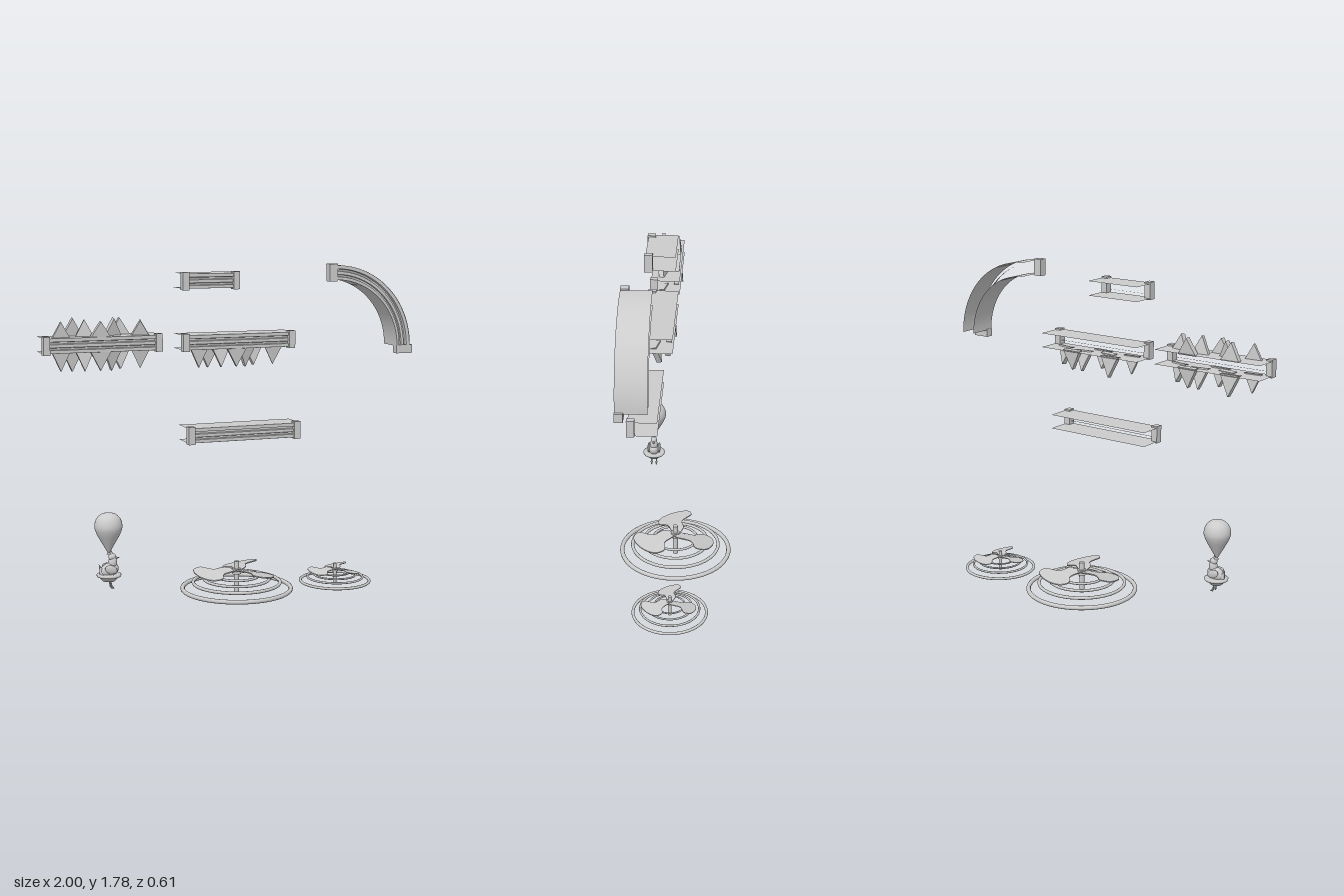
import * as THREE from 'three';

const grey = new THREE.MeshStandardMaterial({ color: 0xcccccc });
const greyThin = new THREE.MeshStandardMaterial({ color: 0xcccccc, side: THREE.DoubleSide });
const greyFlat = new THREE.MeshStandardMaterial({ color: 0xcccccc, flatShading: true });

function add(parent, name, geometry, x = 0, y = 0, z = 0, material = grey) {
  const mesh = new THREE.Mesh(geometry, material);
  mesh.name = name;
  mesh.position.set(x, y, z);
  parent.add(mesh);
  return mesh;
}

// Sweeps a (height, depth) profile through frames of {x, y, ux, uy}; creased across, smooth along.
function sweep(profile, frames) {
  const pos = [], index = [];
  for (let s = 0; s < profile.length - 1; s++) {
    const base = pos.length / 3;
    for (const f of frames)
      for (const [h, z] of [profile[s], profile[s + 1]]) pos.push(f.x + f.ux * h, f.y + f.uy * h, z);
    for (let i = 0; i < frames.length - 1; i++) {
      const a = base + i * 2;
      index.push(a, a + 2, a + 3, a, a + 3, a + 1);
    }
  }
  const g = new THREE.BufferGeometry();
  g.setAttribute('position', new THREE.Float32BufferAttribute(pos, 3));
  g.setIndex(index);
  g.computeVertexNormals();
  return g;
}

const H = 0.038, DEPTH = 0.155;
// Moulded front face of every track
const railProfile = [[-H, 0.15], [-0.022, 0.15], [-0.02, 0.137], [-0.012, 0.137], [-0.009, 0.145],
  [0.006, 0.145], [0.009, 0.132], [0.017, 0.132], [0.02, 0.15], [H, 0.15]];

function trackSurfaces(group, frames) {
  add(group, 'frontRail', sweep(railProfile, frames));
  for (const h of [-H, H])
    add(group, h > 0 ? 'topPlate' : 'bottomPlate', sweep([[h, DEPTH], [h, 0]], frames), 0, 0, 0, greyThin);
}

function straightTrack(name, length, x, y, z) {
  const g = new THREE.Group();
  g.name = name;
  g.position.set(x, y, z);
  const e = length / 2;
  trackSurfaces(g, [{ x: -e, y: 0, ux: 0, uy: 1 }, { x: e, y: 0, ux: 0, uy: 1 }]);
  for (const s of [-1, 1]) add(g, 'endCap', new THREE.BoxGeometry(0.034, 0.092, 0.042), s * (e - 0.017), 0, 0.139);
  return g;
}

function curvedTrack() {
  const g = new THREE.Group();
  g.name = 'curvedTrack';
  g.position.set(0.55, 1.34, 0.083);
  const frames = [], R = 0.397, N = 32;
  for (let i = 0; i <= N; i++) {
    const a = (i / N) * Math.PI / 2, ux = Math.sin(a), uy = Math.cos(a);
    frames.push({ x: R * ux, y: R * uy, ux, uy });
  }
  trackSurfaces(g, frames);
  add(g, 'endCap', new THREE.BoxGeometry(0.045, 0.092, 0.042), -0.016, R, 0.135);
  add(g, 'endCap', new THREE.BoxGeometry(0.092, 0.045, 0.042), R + 0.006, -0.016, 0.135);
  return g;
}

// Spikes: x, z, turn and lean along a track
const spikes = [[-0.21, 0.11, 0.05, 0.05], [-0.13, 0.025, 0, 0.1], [-0.08, 0.08, -0.15, -0.12],
  [-0.01, 0.13, -0.05, 0.1], [0.07, 0.065, 0.12, 0.2], [0.12, 0.024, 0, -0.1], [0.21, 0.092, -0.2, 0.2]];

function addSpikes(track, side) {
  const height = side > 0 ? 0.09 : 0.107;
  spikes.forEach(([x, z, turn, lean], i) => {
    const w = 0.048 + 0.006 * (i % 2), h = height + 0.006 * ((i * 2) % 3 - 1);
    const tri = new THREE.Shape([[-w, 0], [w, 0], [0, h]].map(p => new THREE.Vector2(...p)));
    const t = i === 0 ? 0.016 : 0.028;
    const geo = new THREE.ExtrudeGeometry(tri, { depth: t, bevelEnabled: false }).translate(0, 0, -t / 2);
    const m = add(track, 'spike', geo, x, side * 0.033, z, greyFlat);
    m.rotation.set(lean, turn, side > 0 ? 0 : Math.PI, 'YXZ');
  });
}

// Skewed blade outline, pitched across its width
function bladeGeometry() {
  const outline = new THREE.CatmullRomCurve3([[0, 0.012], [0.04, 0.045], [0.073, 0.069], [0.086, 0.125],
    [0.142, 0.14], [0.206, 0.093], [0.236, 0.009], [0.2, -0.027], [0.123, 0.004], [0.06, -0.028], [0, -0.012]]
    .map(([u, v]) => new THREE.Vector3(u, v, 0)), true);
  const shape = new THREE.Shape(outline.getPoints(48).slice(0, -1).map(p => new THREE.Vector2(p.x, p.y)));
  const g = new THREE.ExtrudeGeometry(shape, { depth: 0.006, bevelEnabled: false });
  g.rotateX(-Math.PI / 2);
  const p = g.attributes.position;
  for (let i = 0; i < p.count; i++) {
    const u = p.getX(i), v = -p.getZ(i);
    p.setY(i, p.getY(i) + 0.122 - 0.2 * (v - 0.045) * Math.min(1, u / 0.08));
  }
  g.computeVertexNormals();
  return g;
}

function fan(name, x, scale) {
  const g = new THREE.Group();
  g.name = name;
  g.position.x = x;
  g.scale.setScalar(scale);
  // Concentric guard rings, rising toward the middle
  for (const [r, y, tube] of [[0.294, 0.028, 0.012], [0.236, 0.061, 0.009], [0.178, 0.081, 0.008], [0.12, 0.098, 0.007]])
    add(g, 'guardRing', new THREE.TorusGeometry(r, tube, 10, 64).rotateX(Math.PI / 2), 0, y, 0);
  add(g, 'axle', new THREE.CylinderGeometry(0.014, 0.014, 0.175, 20), 0, 0.0895, 0);
  add(g, 'hub', new THREE.CylinderGeometry(0.024, 0.024, 0.03, 20), 0, 0.122, 0);
  const blade = bladeGeometry();
  for (let i = 0; i < 3; i++)
    add(g, 'blade', blade, 0, 0, 0, greyThin).rotation.y = THREE.MathUtils.degToRad(44 + 120 * i);
  return g;
}

const lathe = (pts, n = 32) => new THREE.LatheGeometry(pts.map(p => new THREE.Vector2(...p)), n);

function balloonRider() {
  const g = new THREE.Group();
  g.name = 'balloonRider';
  g.position.set(-0.68, 0, 0.165);
  const drop = new THREE.SplineCurve([[0.005, 0.325], [0.018, 0.348], [0.042, 0.39], [0.063, 0.43], [0.072, 0.465],
    [0.062, 0.503], [0.037, 0.527], [0.0001, 0.535]].map(p => new THREE.Vector2(...p)));
  add(g, 'balloon', new THREE.LatheGeometry(drop.getPoints(24), 32));
  add(g, 'balloonKnot', new THREE.ConeGeometry(0.012, 0.014, 12), 0, 0.324, 0);
  // Tub with a wide brim
  add(g, 'tub', lathe([[0.0001, 0.172], [0.032, 0.178], [0.05, 0.198], [0.062, 0.202], [0.064, 0.212],
    [0.054, 0.216], [0.0001, 0.212]], 24));
  // Seated bird
  const ball = (name, x, y, z, sx, sy, sz, tilt = 0) => {
    const m = add(g, name, new THREE.SphereGeometry(1, 18, 12), x, y, z);
    m.scale.set(sx, sy, sz);
    m.rotation.z = tilt;
  };
  ball('body', 0.003, 0.235, 0, 0.05, 0.036, 0.032, 0.3);
  ball('neck', 0.02, 0.27, 0, 0.023, 0.04, 0.023, -0.1);
  ball('head', 0.018, 0.302, 0, 0.02, 0.02, 0.018);
  add(g, 'beak', new THREE.ConeGeometry(0.009, 0.028, 8), 0.046, 0.295, 0).rotation.z = -Math.PI / 2;
  add(g, 'crest', new THREE.ConeGeometry(0.009, 0.025, 8), 0.014, 0.328, 0);
  add(g, 'tail', new THREE.ConeGeometry(0.018, 0.055, 8), -0.043, 0.242, 0).rotation.z = 0.4;
  for (const s of [-1, 1]) {
    ball('wing', 0.004, 0.242, s * 0.03, 0.034, 0.022, 0.009, -0.4);
    add(g, 'leg', new THREE.CylinderGeometry(0.004, 0.004, 0.045, 8), 0.008, 0.16, s * 0.014).rotation.z = 0.25;
    add(g, 'foot', new THREE.ConeGeometry(0.007, 0.024, 6), 0.019, 0.142, s * 0.014).rotation.z = -2.2;
  }
  return g;
}

export function createModel() {
  const model = new THREE.Group();
  model.name = 'obstacleSet';
  const doubleSpiked = straightTrack('doubleSpikedTrack', 0.62, -0.69, 1.395, 0);
  addSpikes(doubleSpiked, 1);
  addSpikes(doubleSpiked, -1);
  const spiked = straightTrack('spikedTrack', 0.62, 0.042, 1.388, 0);
  addSpikes(spiked, -1);
  model.add(
    doubleSpiked,
    spiked,
    straightTrack('shortTrack', 0.31, -0.114, 1.703, 0),
    straightTrack('longTrack', 0.62, 0.042, 0.917, 0.08),
    curvedTrack(),
    fan('largeFan', 0.085, 1),
    fan('smallFan', 0.67, 0.65),
    balloonRider()
  );
  return model;
}
